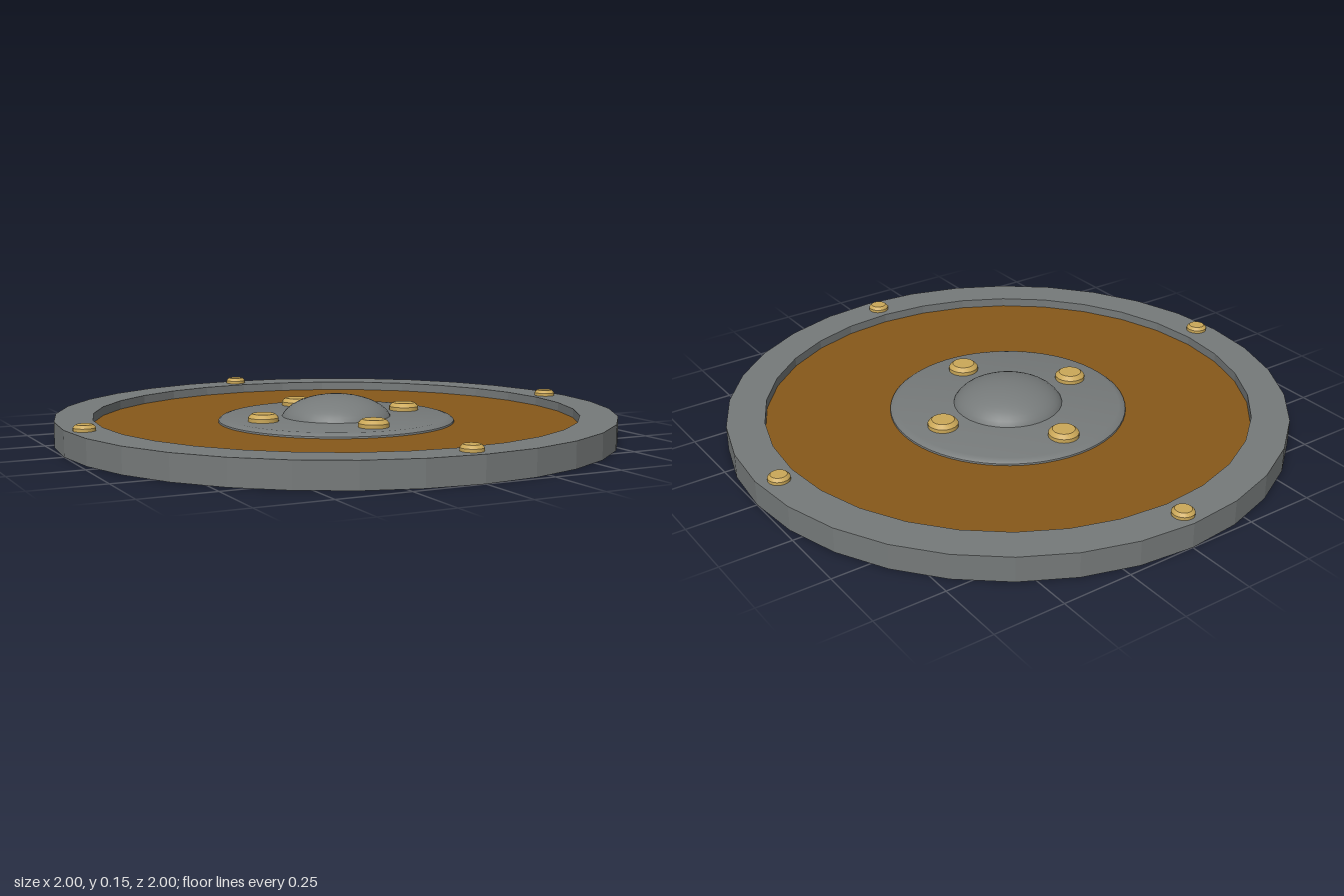
import * as THREE from 'three';
import { toCreasedNormals } from 'three/addons/utils/BufferGeometryUtils.js';

const material = (color, flatShading = false) => new THREE.MeshStandardMaterial({ color, flatShading });

// Turned part from [radius, height] pairs, listed from the outer foot upwards
function turned(name, profile, segments, mat, crease = 0.5) {
  const points = profile.map(([r, y]) => new THREE.Vector2(r, y));
  const geometry = toCreasedNormals(new THREE.LatheGeometry(points, segments), crease);
  const mesh = new THREE.Mesh(geometry, mat);
  mesh.name = name;
  return mesh;
}

export function createModel() {
  const group = new THREE.Group();
  group.name = 'roundShield';
  const steel = material(0x767a7a);
  const steelFlat = material(0x767a7a, true);
  const wood = material(0x87581a, true);
  const brass = material(0xcba858);
  const floorY = 0.058, plateY = 0.075, rimY = 0.09;

  // Wooden board, its underside covering the whole back
  const board = new THREE.Mesh(new THREE.CylinderGeometry(0.998, 0.998, floorY, 32), wood);
  board.name = 'board';
  board.position.y = floorY / 2;
  group.add(board);

  // Faceted metal rim standing proud of the board
  group.add(turned('rim', [[1, 0], [1, rimY], [0.867, rimY], [0.867, floorY - 0.01]], 32, steelFlat));

  // Bevelled centre plate
  group.add(turned('centrePlate',
    [[0.425, floorY - 0.005], [0.423, 0.064], [0.414, 0.071], [0.4, plateY], [0, plateY]], 64, steel));

  // Smooth domed boss
  const boss = new THREE.Mesh(new THREE.SphereGeometry(0.2, 32, 12, 0, Math.PI * 2, 0, Math.PI / 2), steel);
  boss.name = 'boss';
  boss.scale.y = 0.485;
  boss.position.y = 0.055;
  group.add(boss);

  // Studs with a chamfered head
  const addStuds = (name, spots, y, r, h) => spots.forEach(([x, z]) => {
    const stud = turned(name,
      [[r, -0.005], [r, h * 0.5], [r * 0.9, h * 0.75], [r * 0.74, h], [0, h]], 20, brass, 0.35);
    stud.position.set(x, y, z);
    group.add(stud);
  });
  addStuds('rimStud', [[-0.94, 0.037], [0.93, -0.034], [-0.006, -0.94], [-0.006, 0.93]], rimY, 0.038, 0.021);
  addStuds('plateStud', [[-0.292, 0.015], [0.29, -0.02], [-0.014, -0.315], [-0.006, 0.3]], plateY, 0.054, 0.027);

  return group;
}
